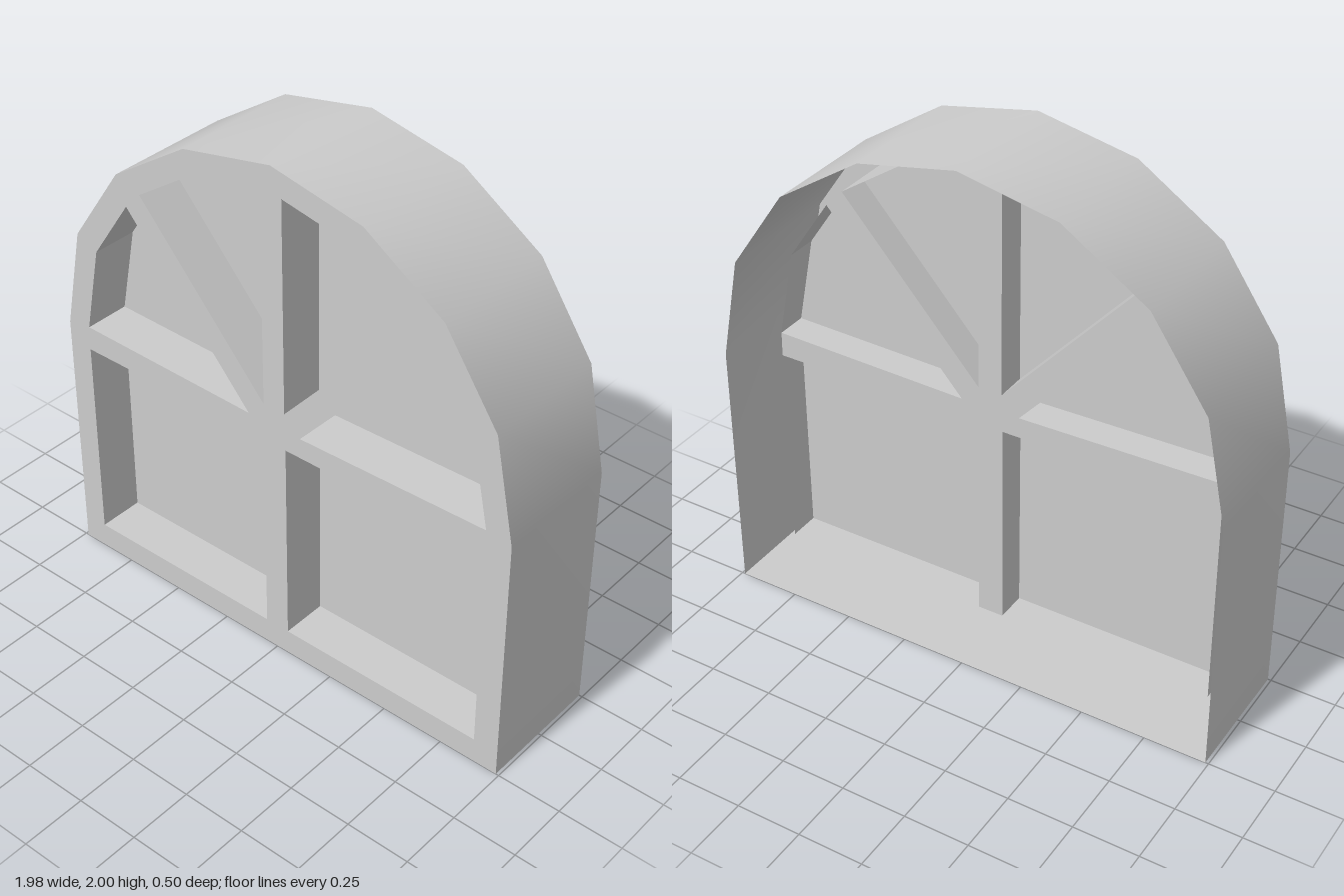
import * as THREE from 'three';

const FRONT = 0.25, BACK = -0.25, BAR_BACK = -0.05, PANE = 0.07;

const mirrored = (pts) => pts.map(([x, y]) => [-x, y]).reverse();
const toVectors = (pts) => pts.map(([x, y]) => new THREE.Vector2(x, y));

// Right half of the outer arch, from the bottom corner up to just before the apex
const archHalf = [[0.988, 0], [0.988, 1.0], [0.91, 1.4], [0.695, 1.715], [0.375, 1.925]];
const arch = [...archHalf, [0, 2], ...mirrored(archHalf)];

// Openings of the right half, counter-clockwise
const openingsHalf = [
  { name: 'lower', pts: [[0.05, 0.1], [0.89, 0.1], [0.89, 0.92], [0.05, 0.92]] },
  { name: 'sideFan', pts: [[0.115, 1.0], [0.888, 1.017], [0.82, 1.36], [0.655, 1.605]] },
  { name: 'topFan', pts: [[0.046, 1.07], [0.588, 1.675], [0.342, 1.84], [0.046, 1.897]] },
];
const openings = openingsHalf.flatMap(({ name, pts }) => [
  { name: name + 'Left', pts },
  { name: name + 'Right', pts: mirrored(pts) },
]);

// Outline of the glazing bars: the web left between the openings
const [lower, side, top] = openingsHalf.map((o) => o.pts);
const barsHalf = [lower[0], lower[3], lower[2], side[1], side[0], side[3], top[1], top[0], top[3]];
const bars = [...barsHalf, ...mirrored(barsHalf)];

// Strip of wall along a path, between two depths
function wallGeometry(pts, zBack, zFront, closed, smooth) {
  const pos = [], index = [];
  pts.forEach(([x, y]) => pos.push(x, y, zBack, x, y, zFront));
  const n = pts.length;
  for (let i = 0; i < (closed ? n : n - 1); i++) {
    const a = 2 * i, b = 2 * ((i + 1) % n);
    index.push(a, b, b + 1, a, b + 1, a + 1);
  }
  let geo = new THREE.BufferGeometry();
  geo.setAttribute('position', new THREE.Float32BufferAttribute(pos, 3));
  geo.setIndex(index);
  if (!smooth) geo = geo.toNonIndexed();
  geo.computeVertexNormals();
  return geo;
}

function flatGeometry(pts, z, holes = []) {
  const shape = new THREE.Shape(toVectors(pts));
  holes.forEach((h) => shape.holes.push(new THREE.Path(toVectors(h))));
  return new THREE.ShapeGeometry(shape).translate(0, 0, z);
}

export function createModel() {
  const group = new THREE.Group();
  const material = new THREE.MeshStandardMaterial({ color: 0xcccccc, side: THREE.DoubleSide });
  const add = (name, geometry) => {
    const mesh = new THREE.Mesh(geometry, material);
    mesh.name = name;
    group.add(mesh);
    return mesh;
  };

  // Outer casing, open at the back
  add('archCasing', wallGeometry(arch, BACK, FRONT, false, true));
  add('sill', wallGeometry([arch[arch.length - 1], arch[0]], BACK, FRONT, false, false));

  // Front face with its six openings
  add('frontFrame', flatGeometry(arch, FRONT, openings.map((o) => o.pts)));

  // Rear face of the glazing bars
  const rear = add('glazingBarsBack', flatGeometry(bars, 0));
  rear.geometry.rotateY(Math.PI).translate(0, 0, BAR_BACK);

  // Reveal and pane of every opening
  openings.forEach(({ name, pts }) => {
    add(name + 'Reveal', wallGeometry([...pts].reverse(), BAR_BACK, FRONT, true, false));
    add(name + 'Pane', flatGeometry(pts, PANE));
  });

  return group;
}
